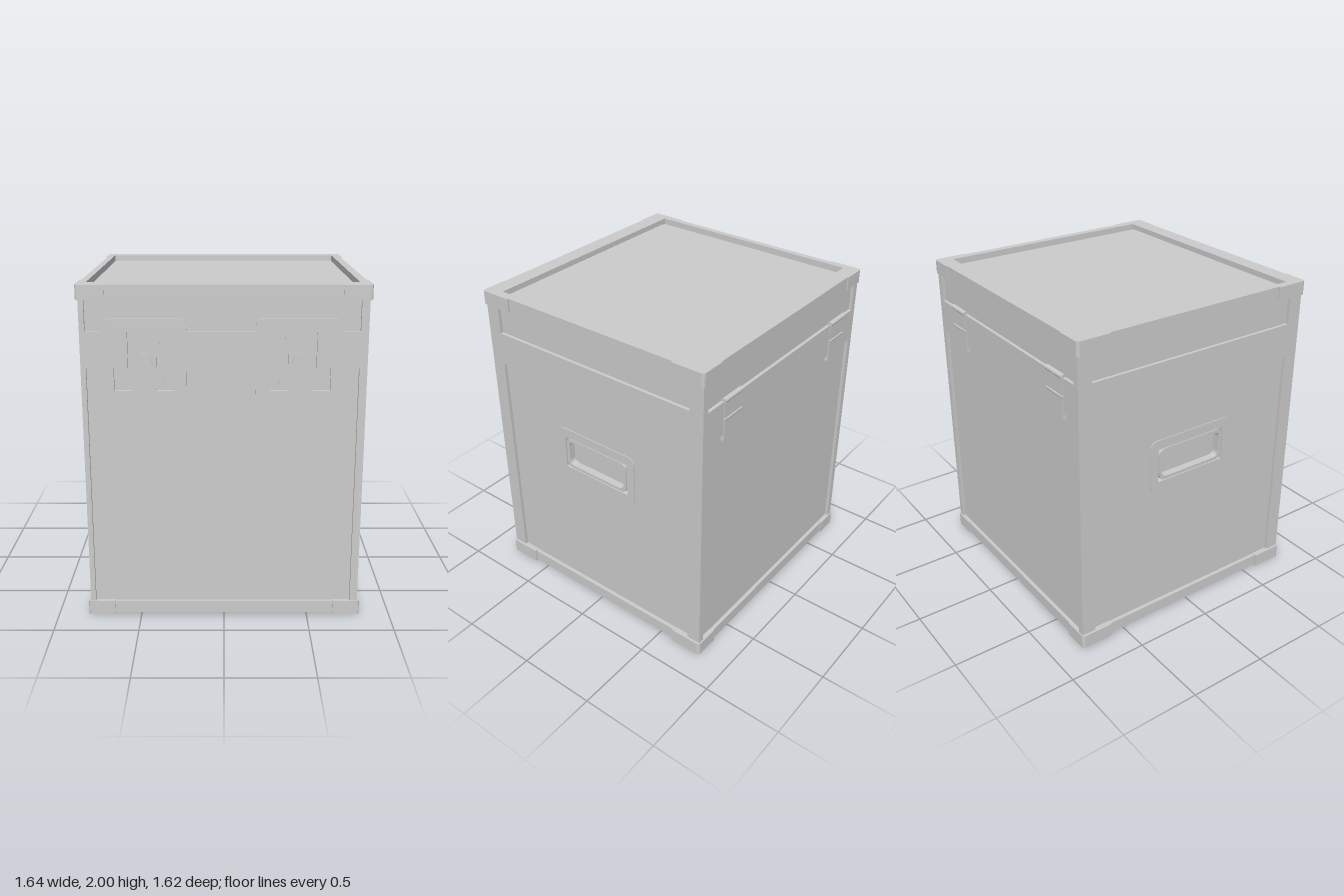
import * as THREE from 'three';

const W = 0.805, D = 0.8, H = 2, RECESS = 0.02;
const mat = new THREE.MeshStandardMaterial({ color: 0xcccccc, flatShading: true });

// Closed outline from [x, y, cornerRadius] points
function outline(points, Type = THREE.Shape) {
  const s = new Type(), n = points.length;
  points.forEach(([x, y, r = 0], i) => {
    const p = new THREE.Vector2(x, y);
    const toward = (q) => new THREE.Vector2(q[0], q[1]).sub(p).setLength(r).add(p);
    const a = r ? toward(points[(i + n - 1) % n]) : p;
    if (i) s.lineTo(a.x, a.y); else s.moveTo(a.x, a.y);
    if (r) {
      const b = toward(points[(i + 1) % n]);
      s.quadraticCurveTo(x, y, b.x, b.y);
    }
  });
  s.closePath();
  return s;
}

const rect = (x0, y0, x1, y1, r = 0) => [[x0, y0, r], [x1, y0, r], [x1, y1, r], [x0, y1, r]];

function slab(name, points, holes, depth, z = 0) {
  const s = outline(points);
  s.holes = holes.map((h) => outline(h, THREE.Path));
  const g = new THREE.ExtrudeGeometry(s, { depth, bevelEnabled: false, curveSegments: 5 });
  const m = new THREE.Mesh(g, mat);
  m.name = name;
  m.position.z = z;
  return m;
}

function box(name, w, h, d, x, y, z) {
  const m = new THREE.Mesh(new THREE.BoxGeometry(w, h, d), mat);
  m.name = name;
  m.position.set(x, y, z);
  return m;
}

// Horizontal slab: outline given in x and z, standing on y
function flatSlab(name, points, holes, height, y) {
  const m = slab(name, points, holes, height);
  m.rotation.x = -Math.PI / 2;
  m.position.y = y;
  return m;
}

function latch(x) {
  const g = new THREE.Group();
  g.name = 'latch';
  g.add(box('latchStrap', 0.14, 0.24, 0.016, 0, 1.52, D - 0.012));
  g.add(box('latchHook', 0.178, 0.11, 0.008, 0, 1.685, D - 0.016));
  g.add(box('latchLip', 0.35, 0.006, 0.022, 0, 1.741, D - 0.008));
  g.add(slab('latchWing', [
    [-0.125, 1.43, 0.02], [-0.05, 1.405, 0.02], [0.05, 1.405, 0.02], [0.125, 1.43, 0.02],
    [0.115, 1.475, 0.02], [0.045, 1.56, 0.02], [0.035, 1.615, 0.03], [-0.035, 1.615, 0.03],
    [-0.045, 1.56, 0.02], [-0.115, 1.475, 0.02]], [], 0.012, D - 0.006));
  g.position.x = x;
  return g;
}

function hinge(x) {
  const g = new THREE.Group();
  g.name = 'hinge';
  g.add(box('lowerLeaf', 0.16, 0.13, 0.026, 0, 1.555, D - 0.007));
  g.add(box('upperLeaf', 0.16, 0.1, 0.022, 0, 1.68, D - 0.007));
  for (const [y, r] of [[1.745, 0.016], [1.625, 0.012], [1.495, 0.008]]) {
    const pin = new THREE.Mesh(new THREE.CylinderGeometry(r, r, 0.165, 10), mat);
    pin.name = 'hingeBarrel';
    pin.rotation.z = Math.PI / 2;
    pin.position.set(0, y, D - 0.003);
    g.add(pin);
  }
  g.position.x = x;
  return g;
}

function sideWall(angle) {
  const g = new THREE.Group();
  g.name = 'sideWall';
  const dish = rect(-0.245, 0.96, 0.245, 1.18);
  // frame with two sunken fields, then the panel behind it with a handle dish
  g.add(slab('sideFrame', rect(-0.78, 0.01, 0.78, 1.98),
    [rect(-0.71, 0.085, 0.71, 1.53), rect(-0.71, 1.74, 0.71, 1.92)], RECESS, W - RECESS));
  g.add(slab('sidePanel', rect(-0.78, 0.01, 0.78, 1.96), [dish], 0.04, W - RECESS - 0.04));
  g.add(slab('handlePlate', rect(-0.3, 0.9, 0.3, 1.24, 0.05), [dish], 0.006, W - RECESS));
  g.add(slab('handleRing', rect(-0.235, 0.965, 0.235, 1.175, 0.045),
    [rect(-0.215, 0.985, 0.215, 1.155, 0.035)], 0.045, W - 0.06));
  g.rotation.y = angle;
  return g;
}

export function createModel() {
  const model = new THREE.Group();
  model.name = 'flightCase';
  model.add(box('core', 1.49, 1.955, 2 * (D - RECESS), 0, 0.01 + 1.955 / 2, 0));

  // Front: fields wrap round the two latch plates, each with a T-shaped pocket
  const plates = [[-0.68, -0.21], [0.18, 0.65]], latches = [-0.45, 0.43];
  const lower = [[-0.775, 0.085], [0.76, 0.085], [0.76, 1.53]];
  const upper = [[0.76, 1.92], [-0.775, 1.92], [-0.775, 1.74]];
  for (const [a, b] of [...plates].reverse()) {
    lower.push([b, 1.53, 0.012], [b, 1.34, 0.04], [a, 1.34, 0.04], [a, 1.53, 0.012]);
  }
  lower.push([-0.775, 1.53]);
  for (const [a, b] of plates) {
    upper.push([a, 1.74, 0.012], [a, 1.81, 0.04], [b, 1.81, 0.04], [b, 1.74, 0.012]);
  }
  upper.push([0.76, 1.74]);
  const pockets = latches.map((x) => [
    [x - 0.17, 1.4], [x + 0.17, 1.4], [x + 0.17, 1.53], [x + 0.09, 1.53],
    [x + 0.09, 1.74], [x - 0.09, 1.74], [x - 0.09, 1.53], [x - 0.17, 1.53]]);
  const face = rect(-W, 0.01, W, 1.98);
  model.add(slab('frontFrame', face, [lower, upper, ...pockets], RECESS, D - RECESS));
  latches.forEach((x) => model.add(latch(x)));

  // Back with hinges
  const back = new THREE.Group();
  back.name = 'back';
  back.add(slab('backFrame', face,
    [rect(-0.765, 0.085, 0.765, 1.53), rect(-0.765, 1.74, 0.765, 1.92)], RECESS, D - RECESS));
  back.add(hinge(-0.54), hinge(0.58));
  back.rotation.y = Math.PI;
  model.add(back);

  model.add(sideWall(Math.PI / 2), sideWall(-Math.PI / 2));

  // Raised rim round the sunken lid, and the base trim
  const trim = rect(-W - 0.004, -D - 0.002, W + 0.004, D + 0.002);
  model.add(flatSlab('lidRim', trim, [rect(-0.77, -0.7, 0.76, 0.71)], 0.08, H - 0.08));
  model.add(flatSlab('baseTrim', trim, [], 0.075, 0.01));

  // L-shaped corner guards
  const X = 0.82, Z = 0.808;
  for (const sx of [-1, 1]) for (const sz of [-1, 1]) {
    const plan = [[X, Z, 0.02], [0.66, Z], [0.66, Z - 0.05], [X - 0.045, Z - 0.05],
      [X - 0.045, 0.6], [X, 0.6]].map(([x, z, r]) => [x * sx, z * sz, r]);
    model.add(flatSlab('topCornerGuard', plan, [], 0.085, H - 0.085));
    model.add(flatSlab('bottomCornerGuard', plan, [], 0.088, 0));
  }
  return model;
}
